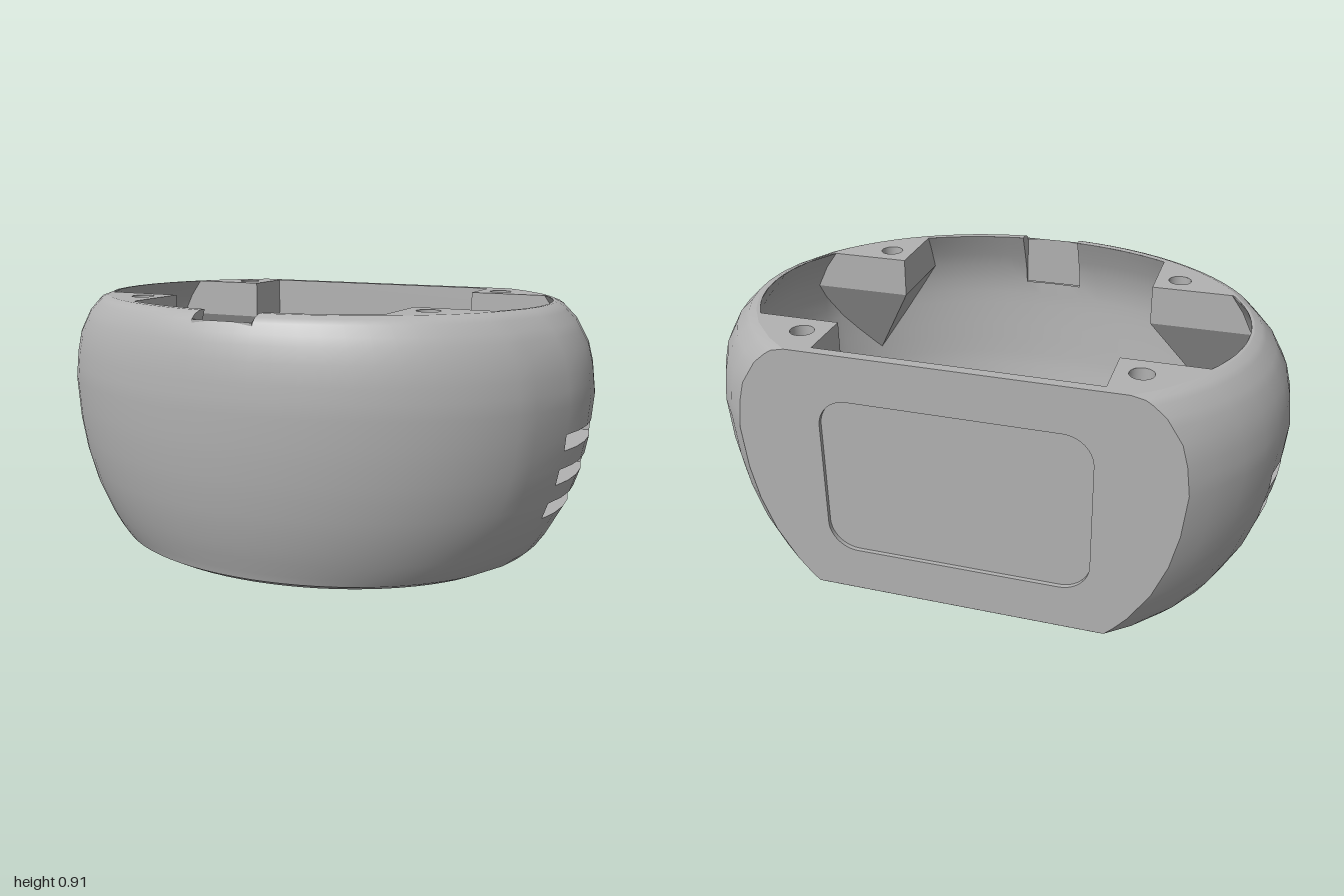
import * as THREE from 'three';

const ZC = -0.13, BACK = -0.665, INNER_BACK = -0.63, TOP = 0.91, FLOOR = 0.05;
const NOTCH_X = 0.11, NOTCH_Z = 0.612, NOTCH_LOW = 0.7, NOTCH_HIGH = 0.885;

// Half-ellipse sizes by height: [y, half width, half depth]
const OUTER = [[0, .757, .65], [.022, .80, .69], [.05, .832, .698], [.1, .866, .718], [.21, .925, .75],
  [.33, .965, .773], [.45, .988, .787], [.6, 1, .795], [.7, .988, .79], [.77, .97, .783],
  [.85, .925, .76], [.885, .89, .742], [.9, .875, .728], [.91, .85, .70]];
const INNER = [[.05, .72, .62], [.1, .79, .65], [.21, .86, .69], [.35, .90, .715], [.6, .93, .735],
  [.7, .925, .737], [.77, .915, .725], [.85, .88, .695], [.91, .84, .67]];
const YS = [.022, .05, .1, .15, .21, .265, .33, .385, .45, .505, .6, .65, .7, .77, .82, .85, .885, .9, .91];
const SLOTS = [[.21, .265], [.33, .385], [.45, .505]];
const SIDE_Z = [-.6, -.5, -.4, -.31, -.22, -.13, -.04, .05, .2];
const SLOT_A = 4, SLOT_B = 8, NOTCH_A = 21, NOTCH_B = 25;

function sizeAt(profile, y) {
  let i = 0;
  while (i < profile.length - 2 && y > profile[i + 1][0]) i++;
  const p = profile[i], q = profile[i + 1], t = (y - p[0]) / (q[0] - p[0]);
  return [p[1] + (q[1] - p[1]) * t, p[2] + (q[2] - p[2]) * t];
}
function xAt(profile, y, z) {
  const [a, b] = sizeAt(profile, y);
  return a * Math.sqrt(Math.max(0, 1 - ((z - ZC) / b) ** 2));
}
function zAt(profile, y, x) {
  const [a, b] = sizeAt(profile, y);
  return ZC + b * Math.sqrt(Math.max(0, 1 - (x / a) ** 2));
}

// One horizontal outline, from the back on +x, round the front, to the back on -x
function outline(profile, y) {
  const [a, b] = sizeAt(profile, y);
  const zb = profile === INNER ? INNER_BACK : (y < .02 ? -.64 : BACK);
  const half = [zb, ...SIDE_Z].map(z => [xAt(profile, y, z), y, z]);
  const t0 = Math.asin((.2 - ZC) / b), t1 = Math.acos(NOTCH_X / a);
  for (let k = 1; k <= 12; k++) {
    const t = t0 + (t1 - t0) * k / 12;
    half.push([a * Math.cos(t), y, ZC + b * Math.sin(t)]);
  }
  half.push([NOTCH_X / 2, y, zAt(profile, y, NOTCH_X / 2)]);
  return [...half, [0, y, ZC + b], ...half.slice().reverse().map(p => [-p[0], y, p[2]])];
}

// Surface through rows of points, optionally leaving cells open
function surface(rows, { skip = () => false, flip = false, flat = false } = {}) {
  const n = rows[0].length, index = [];
  for (let i = 0; i < rows.length - 1; i++) for (let j = 0; j < n - 1; j++) {
    if (skip(i, j)) continue;
    const a = i * n + j, b = a + n, c = a + 1, d = b + 1;
    index.push(...(flip ? [a, c, b, b, c, d] : [a, b, c, b, d, c]));
  }
  let g = new THREE.BufferGeometry();
  g.setAttribute('position', new THREE.Float32BufferAttribute(rows.flat(2), 3));
  g.setIndex(index);
  if (flat) g = g.toNonIndexed();
  g.computeVertexNormals();
  return g;
}

const shapeOf = pts => new THREE.Shape(pts.map(p => new THREE.Vector2(p[0], p[1])));
const plan = pts => shapeOf(pts.map(p => [p[0], -p[p.length - 1]]));
function addHole(shape, x, z, r) {
  const hole = new THREE.Path();
  hole.absarc(x, -z, r, 0, Math.PI * 2);
  shape.holes.push(hole);
}
const level = (shape, y) => new THREE.ShapeGeometry(shape, 24).rotateX(-Math.PI / 2).translate(0, y, 0);

export function createModel() {
  const group = new THREE.Group();
  const grey = new THREE.MeshStandardMaterial({ color: 0xb2b2b2, side: THREE.DoubleSide });
  grey.name = 'grey plastic';
  const add = (name, geometry) => {
    const mesh = new THREE.Mesh(geometry, grey);
    mesh.name = name;
    group.add(mesh);
    return mesh;
  };

  // Curved walls with vent slots and the front notch left open
  const skipper = (ys, low) => (i, j) => {
    const y = (ys[i] + ys[i + 1]) / 2, k = Math.min(j, 45 - j);
    return (k >= SLOT_A && k < SLOT_B && SLOTS.some(s => y > s[0] && y < s[1])) ||
      (y > low && j >= NOTCH_A && j < NOTCH_B);
  };
  const innerYs = YS.slice(1);
  add('outerWall', surface(YS.map(y => outline(OUTER, y)), { skip: skipper(YS, NOTCH_HIGH) }));
  add('innerWall', surface(innerYs.map(y => outline(INNER, y)), { skip: skipper(innerYs, NOTCH_LOW), flip: true }));
  const low = outline(OUTER, 0), edge = outline(OUTER, .022);
  add('bottomChamfer', surface([[...low, low[0]], [...edge, edge[0]]]));

  // Vent slot edges
  for (const side of [1, -1]) for (const [y0, y1] of SLOTS) {
    const ring = profile => {
      const cut = y => outline(profile, y).slice(SLOT_A, SLOT_B + 1).map(p => [p[0] * side, p[1], p[2]]);
      const lower = cut(y0);
      return [...lower, ...cut(y1).reverse(), lower[0]];
    };
    add('ventSlot', surface([ring(OUTER), ring(INNER)], { flat: true, flip: side < 0 }));
  }

  // Back panel with a shallow rounded recess
  const edgeAt = (profile, ys, z) => [...ys.map(y => [xAt(profile, y, z), y]),
    ...ys.slice().reverse().map(y => [-xAt(profile, y, z), y])];
  const back = shapeOf(edgeAt(OUTER, YS, BACK));
  const recess = new THREE.Path(), w = .45, b = .18, t = .75, r = .1;
  recess.moveTo(w, b + r);
  recess.absarc(w - r, t - r, r, 0, Math.PI / 2);
  recess.absarc(r - w, t - r, r, Math.PI / 2, Math.PI);
  recess.absarc(r - w, b + r, r, Math.PI, Math.PI * 1.5);
  recess.absarc(w - r, b + r, r, Math.PI * 1.5, Math.PI * 2);
  back.holes.push(recess);
  add('backPanel', new THREE.ExtrudeGeometry(back, { depth: .015, bevelEnabled: false }).translate(0, 0, BACK));
  add('backRecess', new THREE.ShapeGeometry(new THREE.Shape(recess.getPoints(10))).rotateY(Math.PI).translate(0, 0, BACK + .015));
  add('innerBackWall', new THREE.ShapeGeometry(shapeOf(edgeAt(INNER, innerYs, INNER_BACK))).translate(0, 0, INNER_BACK));

  // Base, floor and their openings
  const base = plan(low), floor = plan(outline(INNER, FLOOR));
  for (const s of [base, floor]) addHole(s, 0, ZC, .165);
  for (const x of [-.38, .38]) addHole(base, x, ZC, .035);
  const baseGeometry = new THREE.ShapeGeometry(base, 24).rotateX(Math.PI / 2).scale(1, 1, -1);
  baseGeometry.index.array.reverse();
  baseGeometry.computeVertexNormals();
  add('baseUnderside', baseGeometry);
  add('floor', level(floor, FLOOR));
  const tube = (name, x, z, radius, y0, y1, open = true) =>
    add(name, new THREE.CylinderGeometry(radius, radius, y1 - y0, 32, 1, open).translate(x, (y0 + y1) / 2, z));
  tube('cableHole', 0, ZC, .165, 0, FLOOR);
  for (const x of [-.38, .38]) {
    tube('screwBoss', x, ZC, .08, FLOOR, .2);
    add('screwBossTop', new THREE.CircleGeometry(.08, 32).rotateX(-Math.PI / 2).translate(x, .2, ZC));
    tube('baseScrewHole', x, ZC, .035, 0, .15);
    add('baseScrewHoleEnd', new THREE.CircleGeometry(.035, 24).rotateX(Math.PI / 2).translate(x, .15, ZC));
  }

  // Flat rim around the cavity, reaching over the corner posts
  const cavity = [];
  for (let k = 0; k <= 8; k++) {
    const x = NOTCH_X + (.47 - NOTCH_X) * k / 8;
    cavity.push([x, zAt(INNER, TOP, x)]);
  }
  cavity.push([.47, .165]);
  for (let k = 0; k <= 14; k++) {
    const z = .165 - .595 * k / 14;
    cavity.push([xAt(INNER, TOP, z), z]);
  }
  cavity.push([.47, -.43], [.47, INNER_BACK]);
  const rimHalf = outline(OUTER, TOP).slice(0, NOTCH_A + 1).map(p => [p[0], p[2]]);
  const mirror = pts => pts.map(p => [-p[0], p[1]]);
  const rim = plan([...rimHalf.slice().reverse(), ...mirror(rimHalf),
    ...mirror(cavity), ...cavity.slice().reverse()]);

  // Corner posts that taper down into the wall, each with a blind screw hole
  const posts = [{ z: .165, tip: [.67, .36], hole: .255 }, { z: -.43, tip: [.66, -.63], hole: -.52 }];
  for (const side of [1, -1]) for (const post of posts) {
    const rows = [.91, .85, .77, .7, .65, .6, .52, .44].map(y => {
      const k = Math.max(0, (.77 - y) / .33);
      const x = .47 + (post.tip[0] - .47) * k, z = post.z + (post.tip[1] - post.z) * k;
      const end = post.z > 0 ? Math.max(z, zAt(INNER, y, x) + .01) : INNER_BACK - .01;
      return [[Math.max(x, xAt(INNER, y, z) + .01), y, z], [x, y, z], [x, y, end]].map(p => [p[0] * side, p[1], p[2]]);
    });
    add('cornerPost', surface(rows, { flat: true, flip: (side > 0) === (post.z > 0) }));
    addHole(rim, .555 * side, post.hole, .04);
    tube('postScrewHole', .555 * side, post.hole, .04, .8, TOP);
    add('postScrewHoleEnd', new THREE.CircleGeometry(.04, 24).rotateX(-Math.PI / 2).translate(.555 * side, .8, post.hole));
  }
  add('rim', level(rim, TOP));

  // Front notch: groove face and its two cheeks
  add('notchFace', new THREE.PlaneGeometry(NOTCH_X * 2, NOTCH_HIGH - NOTCH_LOW)
    .rotateY(Math.PI).translate(0, (NOTCH_LOW + NOTCH_HIGH) / 2, NOTCH_Z));
  const cheek = shapeOf([...[.7, .77, .82, .85, .885, .91].map(y => [-zAt(INNER, y, NOTCH_X), y]),
    ...[.91, .9].map(y => [-zAt(OUTER, y, NOTCH_X), y]), [-NOTCH_Z, NOTCH_HIGH], [-NOTCH_Z, NOTCH_LOW]]);
  for (const x of [-NOTCH_X, NOTCH_X])
    add('notchCheek', new THREE.ShapeGeometry(cheek).rotateY(Math.PI / 2).translate(x, 0, 0));

  return group;
}
